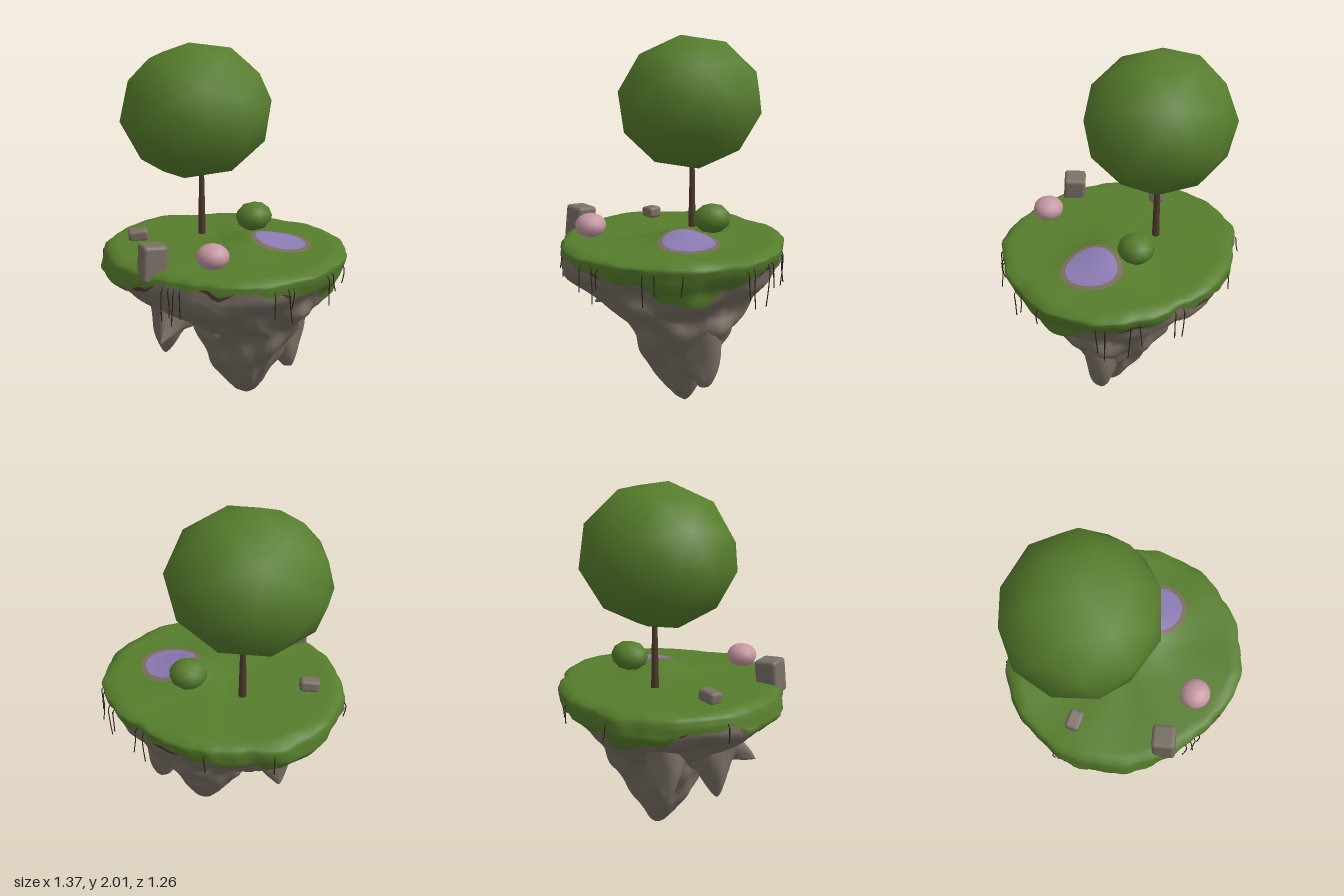
import * as THREE from 'three';
import { RoundedBoxGeometry } from 'three/addons/geometries/RoundedBoxGeometry.js';

const mat = (name, color, side = THREE.FrontSide) => {
  const m = new THREE.MeshStandardMaterial({ color, side });
  m.name = name;
  return m;
};

// Island rim radius and lower grass edge, every 15 degrees from +x towards +z
const RIM = [.68, .67, .66, .65, .65, .64, .605, .605, .61, .63, .645, .665,
  .68, .68, .685, .68, .64, .625, .625, .61, .61, .64, .67, .68];
const EDGE = [.68, .72, .81, .82, .86, .87, .87, .88, .86, .78, .74, .81,
  .85, .83, .77, .71, .78, .8, .83, .85, .87, .83, .84, .76];

// Island extents by height: y, xMin, xMax, zMin, zMax
const SECTIONS = [
  [.935, -.63, .63, -.575, .575], [.905, -.665, .675, -.61, .61], [.87, -.675, .665, -.61, .615],
  [.81, -.68, .64, -.6, .615], [.75, -.62, .6, -.56, .57], [.66, -.48, .55, -.45, .48],
  [.58, -.36, .48, -.39, .38], [.5, -.2, .46, -.34, .28], [.42, -.17, .41, -.3, .25],
  [.3, -.12, .34, -.23, .2], [.2, -.07, .28, -.18, .14], [.1, .0, .23, -.12, .07],
  [.03, .06, .18, -.08, .01], [.01, .1, .15, -.055, -.025], [0, .128, .132, -.042, -.038]];

const around = (table, a) => {
  const t = (((a / (Math.PI * 2)) % 1 + 1) % 1) * table.length;
  const i = Math.floor(t), f = t - i, s = f * f * (3 - 2 * f);
  return THREE.MathUtils.lerp(table[i % table.length], table[(i + 1) % table.length], s);
};

const grassEdge = a => around(EDGE, a) + .012 * Math.sin(a * 17) + .008 * Math.sin(a * 29 + 1);

// Point on the island side at angle a and height y
function sidePoint(a, y, grow = 0) {
  let i = 0;
  while (i < SECTIONS.length - 2 && y < SECTIONS[i + 1][0]) i++;
  const p = SECTIONS[i], q = SECTIONS[i + 1];
  const t = THREE.MathUtils.clamp((p[0] - y) / (p[0] - q[0]), 0, 1);
  const [, x0, x1, z0, z1] = p.map((v, k) => THREE.MathUtils.lerp(v, q[k], t));
  const r = around(RIM, a) + .005 * Math.sin(a * 13) + .003 * Math.sin(a * 31);
  // Lumpy stone, calm at the rim and at the tip
  const calm = THREE.MathUtils.smoothstep(.88 - y, 0, .2) * Math.min(1, y * 4);
  const lump = 1 + grow + calm * (.04 * Math.sin(a * 5 + y * 9) + .03 * Math.sin(a * 9 - y * 16) + .03 * Math.sin(a * 3 + y * 30));
  return [(x0 + x1) / 2 + r * Math.cos(a) * lump * (x1 - x0) / 1.37, y,
    (z0 + z1) / 2 + r * Math.sin(a) * lump * (z1 - z0) / 1.23];
}

// Closed rings joined into a smooth surface
function rings(rows, cols, fn) {
  const pos = [], idx = [];
  for (let i = 0; i <= rows; i++)
    for (let j = 0; j < cols; j++) pos.push(...fn(i, j / cols * Math.PI * 2));
  for (let i = 0; i < rows; i++)
    for (let j = 0; j < cols; j++) {
      const k = (j + 1) % cols, a = i * cols + j, b = i * cols + k;
      idx.push(a, b, a + cols, b, b + cols, a + cols);
    }
  const g = new THREE.BufferGeometry();
  g.setAttribute('position', new THREE.Float32BufferAttribute(pos, 3));
  g.setIndex(idx);
  g.computeVertexNormals();
  return g;
}

// Low mound on the lawn
const lawnY = (x, z) => .93 + .056 * Math.exp(-((x - .17) ** 2 + (z + .01) ** 2) / .03);

export function createModel() {
  const model = new THREE.Group();
  const grass = mat('grass green', 0x567d2c);
  const stone = mat('stone', 0x7a7066);
  const water = mat('pond violet', 0x8a7ab2, THREE.DoubleSide);
  const shore = mat('pond shore', 0x7a6d5a, THREE.DoubleSide);
  const pink = mat('pink', 0xc498a2);
  const bark = mat('bark', 0x4e382d);
  const soil = mat('soil', 0x4c372a);
  const root = mat('root', 0x2c221b);
  const add = (name, geo, material, pos = [0, 0, 0], scale = [1, 1, 1], rot = [0, 0, 0]) => {
    const m = new THREE.Mesh(geo, material);
    m.name = name;
    m.position.set(...pos);
    m.scale.set(...scale);
    m.rotation.set(...rot);
    model.add(m);
  };

  // Lawn with a rim that folds over the stone
  add('lawn', rings(30, 120, (i, a) => {
    if (i <= 18) {
      const s = Math.max(i / 18, .001), [x, , z] = sidePoint(a, .935, .004);
      return [x * s, lawnY(x * s, z * s) + .005 * s * Math.sin(a * 7), z * s];
    }
    const t = (i - 18) / 12;
    return sidePoint(a, THREE.MathUtils.lerp(.925, grassEdge(a), t), .01);
  }), grass);

  // Soil patches showing only beneath the short grass
  add('soilBand', rings(2, 120, (i, a) => {
    const e = grassEdge(a);
    const drop = e > .825 ? .028 * Math.max(0, Math.sin(a * 9 + 1)) : 0;
    return sidePoint(a, e + .012 - (drop + .008) * i / 2, .006);
  }), soil);

  // Hanging stone body
  add('stoneBody', rings(44, 96, (i, a) => sidePoint(a, (grassEdge(a) + .03) * (1 - i / 44))), stone);

  // Stone spikes: base centre, tip, base radius, bluntness (low is rounder)
  const spikes = [
    [[.31, .66, -.09], [.365, .165, -.09], .14, .42],
    [[-.25, .7, .13], [-.31, .31, .15], .17, .7],
    [[-.28, .7, -.13], [-.385, .37, -.18], .15, .7],
    [[-.2, .62, .18], [-.27, .48, .405], .13, .9],
    [[.04, .62, .18], [.0, .48, .3], .13, .7],
    [[-.14, .66, .06], [-.19, .44, .07], .14, .6]];
  spikes.forEach(([b, t, r, blunt], n) => {
    const base = new THREE.Vector3(...b), axis = new THREE.Vector3(...t).sub(base);
    const turn = new THREE.Quaternion().setFromUnitVectors(new THREE.Vector3(0, -1, 0), axis.clone().normalize());
    const len = axis.length();
    add('stoneSpike', rings(12, 20, (i, a) => {
      const s = 1 - (1 - i / 12) ** 1.5;
      const w = r * Math.pow(1 - s, blunt) * (1 + .1 * Math.sin(a * 3 + s * 5 + n) + .05 * Math.sin(a * 5 - s * 9));
      const p = new THREE.Vector3(w * Math.cos(a), -s * len, w * Math.sin(a)).applyQuaternion(turn).add(base);
      return [p.x, p.y, p.z];
    }), stone);
  });

  // Pond laid over the mound
  const disc = (r, lift) => rings(10, 48, (i, a) => {
    const s = Math.max(i / 10, .001) * r * (1 + .025 * Math.sin(a * 3));
    const x = .315 + s * Math.cos(a), z = -.015 + s * Math.sin(a);
    return [x, lawnY(x, z) + lift, z];
  });
  add('pondShore', disc(.166, .005), shore);
  add('pondWater', disc(.138, .009), water);

  // Tree and bush
  add('treeTrunk', new THREE.CylinderGeometry(.013, .022, .44, 10), bark, [-.152, 1.13, -.15]);
  add('treeCrown', new THREE.IcosahedronGeometry(1, 1), grass, [-.176, 1.636, -.14], [.424, .374, .405], [.1, .35, .08]);
  add('bush', new THREE.IcosahedronGeometry(1, 1), grass, [.142, 1.038, -.187], [.105, .082, .1], [0, .6, .1]);

  // Pink ball and loose stones
  add('pinkBall', new THREE.IcosahedronGeometry(1, 2), pink, [.022, 1.006, .455], [.085, .066, .084]);
  add('tallStone', new RoundedBoxGeometry(.13, .19, .125, 2, .02), stone, [-.283, .963, .475], [1, 1, 1], [-.08, .55, -.03]);
  add('smallStone', new RoundedBoxGeometry(.11, .065, .08, 2, .018), stone, [-.482, .96, .02], [1, 1, 1], [.1, .3, .06]);

  // Dangling roots: angle in degrees, length
  const roots = [[101, .16], [104, .2], [107, .15], [110, .19], [57, .14], [50, .18], [47, .11],
    [25, .16], [20, .1], [8, .1], [-20, .15], [-24, .2], [-35, .22], [-39, .14],
    [-58, .16], [-63, .2], [-98, .1], [-130, .1], [178, .1]];
  roots.forEach(([deg, len], n) => {
    const a = deg * Math.PI / 180, [x, y, z] = sidePoint(a, .875, .005);
    const cx = Math.cos(a), cz = Math.sin(a), bend = .012 * Math.sin(n * 2.3);
    const at = (out, down) => new THREE.Vector3(x + cx * out - cz * bend * down * 8, y - down, z + cz * out + cx * bend * down * 8);
    const path = new THREE.CatmullRomCurve3([at(-.02, -.01), at(.01, .01), at(.013, len * .5), at(.004 + .01 * (n % 3), len)]);
    add('root', new THREE.TubeGeometry(path, 8, .003, 5), root);
  });

  return model;
}
